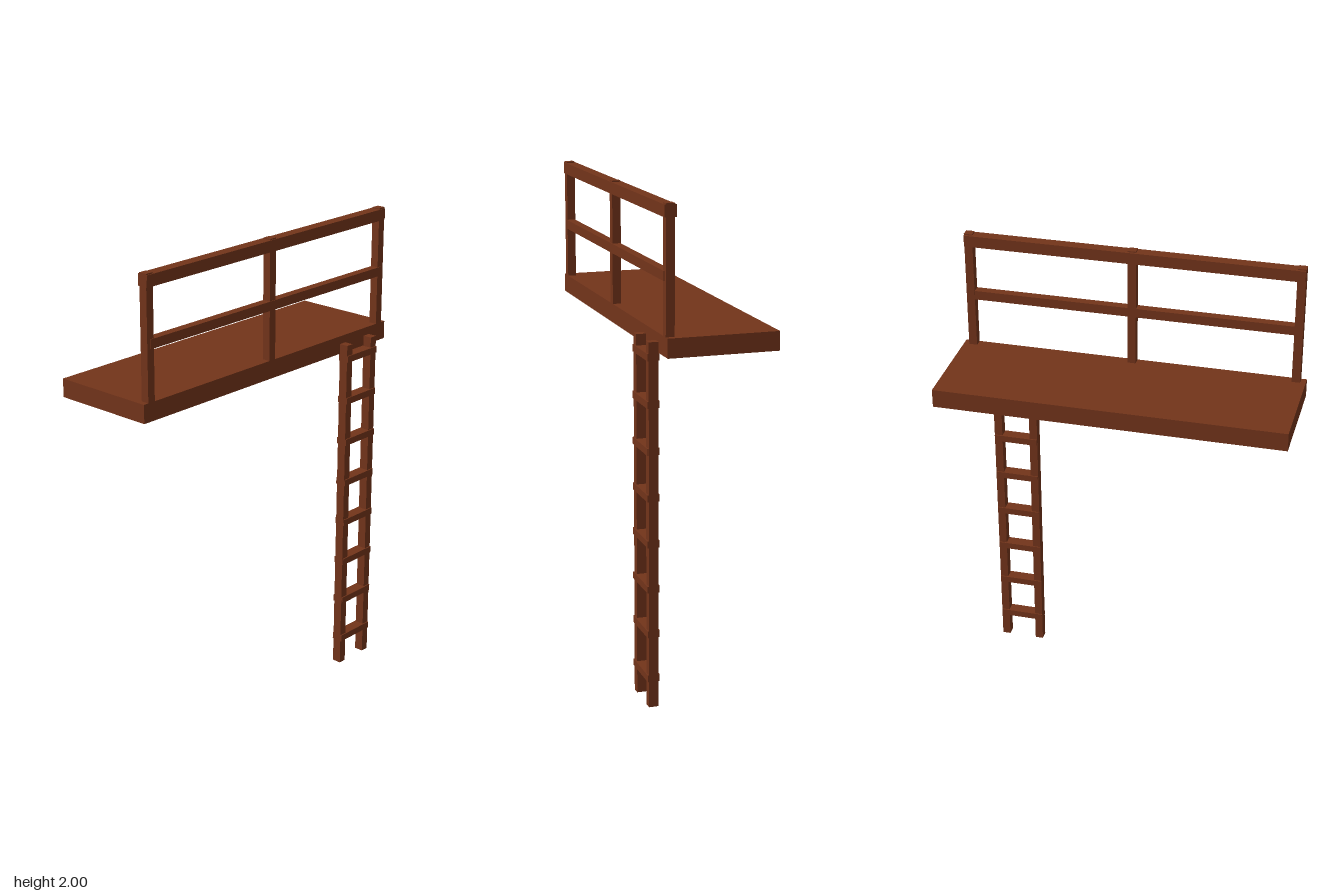
import * as THREE from 'three';

export function createModel() {
  const model = new THREE.Group();
  const wood = new THREE.MeshStandardMaterial({ color: 0x73341a });

  // Box given by its min and max on each axis
  function beam(name, parent, [x0, x1], [y0, y1], [z0, z1]) {
    const mesh = new THREE.Mesh(new THREE.BoxGeometry(x1 - x0, y1 - y0, z1 - z0), wood);
    mesh.position.set((x0 + x1) / 2, (y0 + y1) / 2, (z0 + z1) / 2);
    mesh.name = name;
    parent.add(mesh);
  }

  // Platform
  beam('deck', model, [-0.716, 0.716], [1.427, 1.503], [-0.245, 0.2]);

  // Railing along the front edge
  const railing = new THREE.Group();
  railing.name = 'railing';
  model.add(railing);
  for (const x of [-0.676, 0, 0.676]) {
    beam('railingPost', railing, [x - 0.017, x + 0.017], [1.5, 2], [0.165, 0.2]);
  }
  beam('topRail', railing, [-0.692, 0.692], [1.948, 1.995], [0.157, 0.204]);
  beam('middleRail', railing, [-0.676, 0.676], [1.711, 1.749], [0.167, 0.203]);

  // Ladder: two stiles and eight rungs
  const ladder = new THREE.Group();
  ladder.name = 'ladder';
  model.add(ladder);
  for (const x of [0.439, 0.594]) {
    beam('ladderStile', ladder, [x - 0.017, x + 0.017], [0, 1.47], [0.201, 0.24]);
  }
  for (let i = 0; i < 8; i++) {
    const y = 0.12 + i * 0.1845;
    beam('ladderRung', ladder, [0.423, 0.61], [y - 0.014, y + 0.014], [0.196, 0.245]);
  }

  return model;
}
